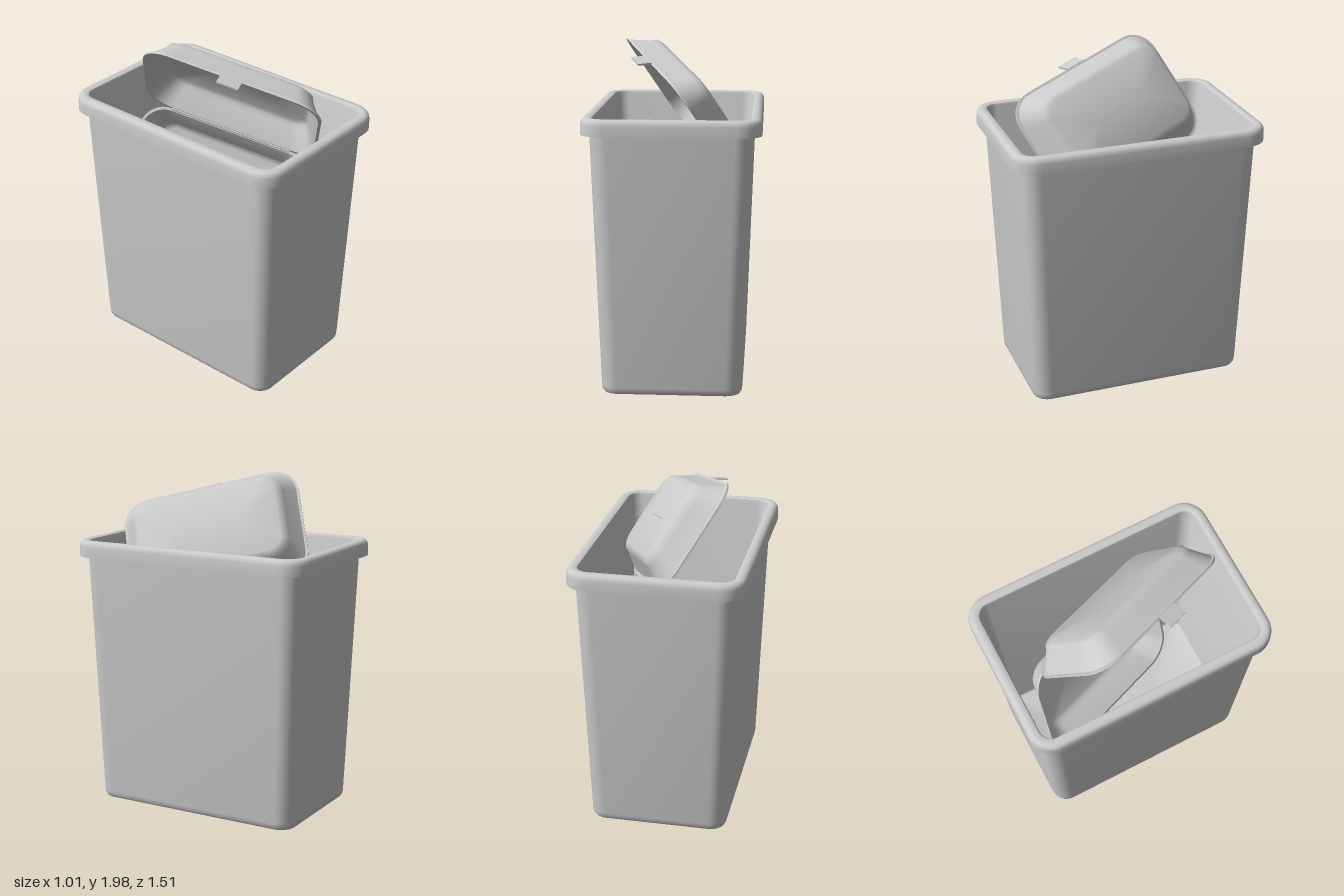
import * as THREE from 'three';
import { toCreasedNormals } from 'three/addons/utils/BufferGeometryUtils.js';

const STEPS = 8; // segments per rounded corner

// Rounded rectangle ring at height y
function ring([hw, hd, r, y]) {
  const pts = [];
  for (let q = 0; q < 4; q++) {
    const sx = q === 0 || q === 3 ? 1 : -1;
    const sz = q < 2 ? 1 : -1;
    for (let k = 0; k <= STEPS; k++) {
      const a = (q + k / STEPS) * Math.PI / 2;
      pts.push(sx * (hw - r) + r * Math.cos(a), y, sz * (hd - r) + r * Math.sin(a));
    }
  }
  return pts;
}

// Skin through rings of [halfWidth, halfDepth, cornerRadius, y]
function loft(rings) {
  const n = 4 * (STEPS + 1);
  const index = [];
  for (let i = 0; i < rings.length - 1; i++) {
    for (let j = 0; j < n; j++) {
      const a = i * n + j, b = i * n + (j + 1) % n;
      index.push(a, a + n, b, b, a + n, b + n);
    }
  }
  const g = new THREE.BufferGeometry();
  g.setAttribute('position', new THREE.Float32BufferAttribute(rings.flatMap(ring), 3));
  g.setIndex(index);
  return toCreasedNormals(g, 0.7);
}

export function createModel() {
  const model = new THREE.Group();
  const material = new THREE.MeshStandardMaterial({ color: 0xcccccc, side: THREE.DoubleSide });
  const add = (parent, name, geometry) => {
    const mesh = new THREE.Mesh(geometry, material);
    mesh.name = name;
    parent.add(mesh);
    return mesh;
  };

  // Tapered bin: underside, outer wall, overhanging rolled rim, inner wall, floor
  add(model, 'bin', loft([
    [0.001, 0.251, 0.001, 0],
    [0.375, 0.625, 0.07, 0],
    [0.392, 0.642, 0.085, 0.006],
    [0.402, 0.652, 0.095, 0.02],
    [0.406, 0.656, 0.1, 0.045],
    [0.457, 0.707, 0.1, 1.54],
    [0.49, 0.74, 0.125, 1.54],
    [0.49, 0.74, 0.125, 1.505],
    [0.505, 0.755, 0.14, 1.505],
    [0.505, 0.755, 0.14, 1.565],
    [0.501, 0.751, 0.136, 1.583],
    [0.491, 0.741, 0.126, 1.595],
    [0.475, 0.725, 0.11, 1.6],
    [0.455, 0.705, 0.09, 1.6],
    [0.443, 0.693, 0.078, 1.595],
    [0.437, 0.687, 0.072, 1.58],
    [0.388, 0.638, 0.072, 0.05],
    [0.383, 0.633, 0.067, 0.03],
    [0.37, 0.62, 0.055, 0.022],
    [0.001, 0.251, 0.001, 0.022],
  ]));

  // Open clamshell box lying in the bin: directions along and across its lid
  const along = new THREE.Vector3(0.38, -0.23, 0.9).normalize();
  const across = new THREE.Vector3(0.474, -0.783, -0.4);
  across.addScaledVector(along, -across.dot(along)).normalize();
  const outward = new THREE.Vector3().crossVectors(along, across);
  const halfL = 0.54, halfW = 0.36, depth = 0.16;

  const clamshell = new THREE.Group();
  clamshell.name = 'clamshellBox';
  clamshell.matrix.makeBasis(along, outward, across.clone().negate());
  clamshell.matrix.setPosition(
    new THREE.Vector3(-0.37, 2.0, -0.28).addScaledVector(along, halfL).addScaledVector(across, 2 * halfW));
  clamshell.matrix.decompose(clamshell.position, clamshell.quaternion, clamshell.scale);
  model.add(clamshell);

  // Thin dish with sloped walls, rounded base edge and a narrow lip
  const dish = loft([
    [0.181, 0.001, 0.001, depth - 0.01],
    [0.41, 0.23, 0.08, depth - 0.01],
    [0.436, 0.256, 0.1, depth - 0.024],
    [0.448, 0.268, 0.11, depth - 0.05],
    [0.515, 0.335, 0.14, 0.012],
    [0.525, 0.345, 0.15, 0],
    [halfL, halfW, 0.16, 0],
    [halfL, halfW, 0.16, 0.012],
    [0.526, 0.346, 0.15, 0.014],
    [0.458, 0.278, 0.12, depth - 0.045],
    [0.445, 0.265, 0.11, depth - 0.016],
    [0.415, 0.235, 0.085, depth],
    [0.181, 0.001, 0.001, depth],
  ]);

  // Upper and lower halves meet at the hinge line
  const lid = new THREE.Group();
  lid.name = 'boxLid';
  lid.position.z = halfW;
  clamshell.add(lid);
  add(lid, 'lidDish', dish);

  const lowerPivot = new THREE.Group();
  lowerPivot.name = 'boxBase';
  lowerPivot.rotation.x = -Math.PI / 3;
  clamshell.add(lowerPivot);
  add(lowerPivot, 'baseDish', dish).position.z = -halfW;

  // Hinge strip
  const hinge = add(clamshell, 'hinge', new THREE.CylinderGeometry(0.01, 0.01, 0.76, 10));
  hinge.rotation.z = Math.PI / 2;

  // Closing tab on the free edge of the lid
  const tab = add(lid, 'closingTab', new THREE.BoxGeometry(0.13, 0.01, 0.085));
  tab.position.set(0, -0.028, halfW + 0.02);
  tab.rotation.x = 1.0;

  return model;
}
